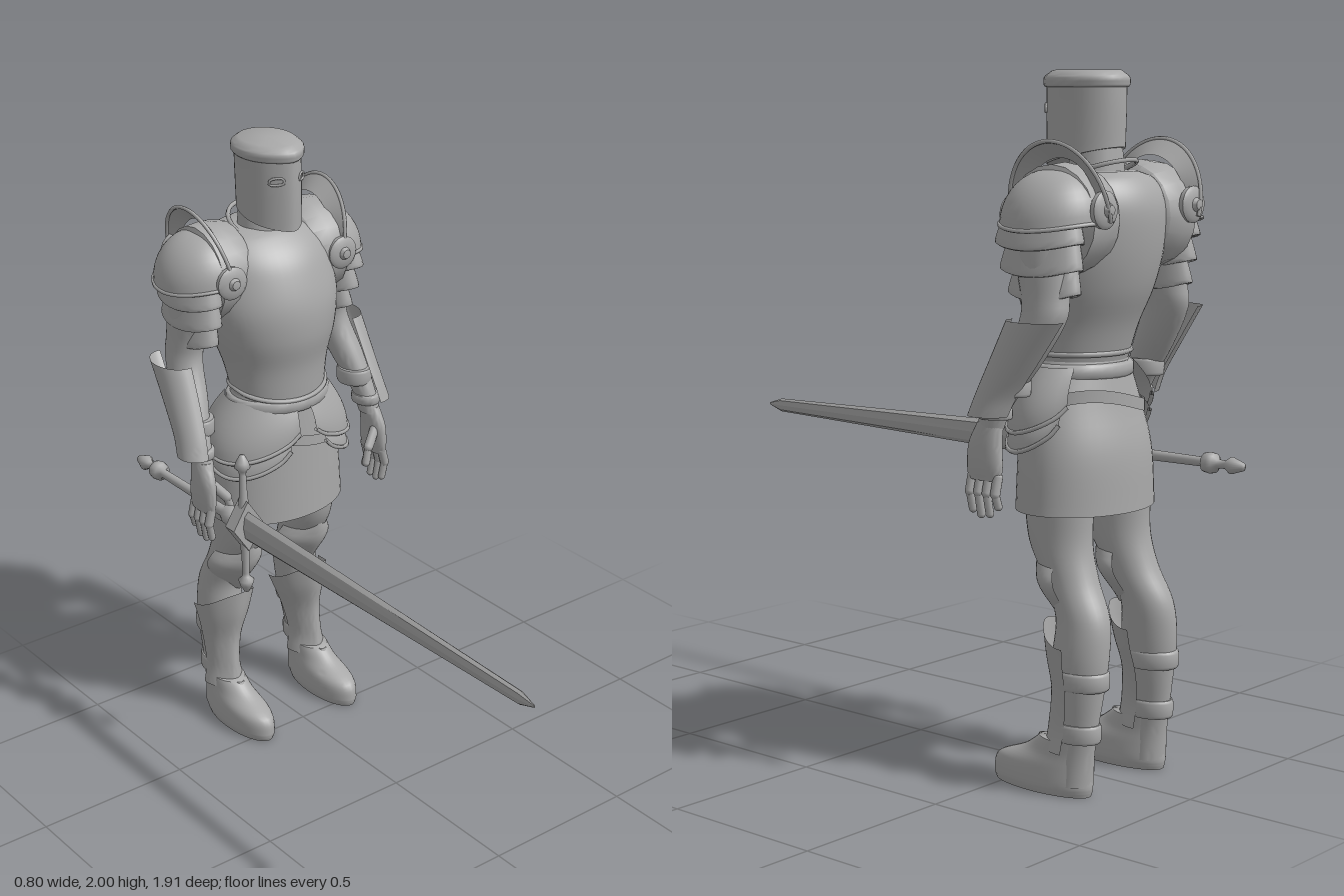
import * as THREE from 'three';
import { mergeVertices, toCreasedNormals } from 'three/addons/utils/BufferGeometryUtils.js';

const steel = new THREE.MeshStandardMaterial({ color: 0xa8a8a8, side: THREE.DoubleSide });
steel.name = 'steel grey';
const V = (x, y, z) => new THREE.Vector3(x, y, z);
const { sin, cos, PI } = Math;

function add(group, name, geometry) {
  const mesh = new THREE.Mesh(geometry, steel);
  mesh.name = name;
  group.add(mesh);
  return mesh;
}

// Smooth surface from a function of u and v
function surface(fn, nu, nv, crease = 0.8) {
  const pos = [], index = [];
  for (let j = 0; j <= nv; j++)
    for (let i = 0; i <= nu; i++) pos.push(...fn(i / nu, j / nv).toArray());
  for (let j = 0; j < nv; j++)
    for (let i = 0; i < nu; i++) {
      const a = j * (nu + 1) + i, d = a + nu + 1;
      index.push(a, a + 1, d + 1, a, d + 1, d);
    }
  const g = new THREE.BufferGeometry();
  g.setAttribute('position', new THREE.Float32BufferAttribute(pos, 3));
  g.setIndex(index);
  return toCreasedNormals(mergeVertices(g), crease);
}

// Loft through horizontal elliptical sections [y, cx, cz, rx, rz], listed bottom to top.
// Angle 0 faces the front; a partial range of angles makes an open plate.
function loft(sections, o = {}) {
  const { a0 = -PI, a1 = PI, cap = !('a0' in o), n = 32, steps = 5, warp, crease } = o;
  const mid = new THREE.CatmullRomCurve3(sections.map(s => V(s[1], s[0], s[2])), false, 'catmullrom');
  const rad = new THREE.CatmullRomCurve3(sections.map(s => V(s[3], 0, s[4])), false, 'catmullrom');
  const rows = (sections.length - 1) * steps, extra = cap ? 1 : 0;
  const total = rows + 2 * extra;
  return surface((u, w) => {
    const row = Math.round(w * total) - extra;
    const v = Math.min(1, Math.max(0, row / rows)), a = a0 + (a1 - a0) * u;
    const c = mid.getPoint(v), r = rad.getPoint(v), k = row < 0 || row > rows ? 0 : 1;
    const p = V(c.x + k * r.x * sin(a), c.y, c.z + k * r.z * cos(a));
    if (warp) warp(p, a, v);
    return p;
  }, n, total, crease);
}

const tube = (points, r, closed = false) =>
  new THREE.TubeGeometry(new THREE.CatmullRomCurve3(points, closed), points.length * 3, r, 6, closed);
const sample = (n, fn) => Array.from({ length: n }, (_, i) => fn(i / (n - 1)));
const loop = (n, fn) => Array.from({ length: n }, (_, i) => fn((i / n) * 2 * PI));
const lathe = pts => new THREE.LatheGeometry(pts.map(p => new THREE.Vector2(...p)), 20);

// Flat band around a limb, centred at height y
const band = (y, h, cx, cz, rx, rz) => loft([
  [y - h / 2, cx, cz, rx * 0.94, rz * 0.94], [y - h / 3, cx, cz, rx, rz],
  [y + h / 3, cx, cz, rx, rz], [y + h / 2, cx, cz, rx * 0.94, rz * 0.94]], { steps: 2 });

function capsule(a, b, r) {
  const g = new THREE.CapsuleGeometry(r, a.distanceTo(b), 4, 10);
  g.applyQuaternion(new THREE.Quaternion().setFromUnitVectors(V(0, 1, 0), b.clone().sub(a).normalize()));
  const m = a.clone().add(b).multiplyScalar(0.5);
  return g.translate(m.x, m.y, m.z);
}

function buildHelmet() {
  const g = new THREE.Group(); g.name = 'helmet';
  const crest = (p, a) => { p.z += 0.012 * Math.max(0, cos(a)) ** 12; };
  add(g, 'helmetShell', loft([[1.765, 0, -0.615, 0.09, 0.117], [1.88, 0, -0.615, 0.09, 0.12], [1.965, 0, -0.615, 0.091, 0.12]],
    { warp: (p, a, v) => { crest(p, a); p.y += (1 - v) * (-0.615 - p.z) * 0.22; } }));
  add(g, 'helmetRim', loft([[1.953, 0, -0.615, 0.095, 0.122], [1.96, 0, -0.615, 0.101, 0.128],
    [1.978, 0, -0.615, 0.101, 0.128], [1.987, 0, -0.615, 0.095, 0.12], [2, 0, -0.615, 0.08, 0.1]], { steps: 2, warp: crest }));
  for (const s of [-1, 1]) {
    const slit = add(g, 'eyeSlit', tube([V(-0.022, -0.004, 0), V(-0.02, 0.01, 0), V(0.02, 0.006, 0), V(0.022, -0.008, 0)], 0.004, true));
    slit.position.set(s * 0.046, 1.895, -0.507);
    slit.rotation.y = s * 0.67;
    slit.scale.x = s;
  }
  add(g, 'neck', new THREE.CylinderGeometry(0.07, 0.085, 0.14, 24).translate(0, 1.74, -0.65));
  return g;
}

function buildBody() {
  const g = new THREE.Group(); g.name = 'body';
  add(g, 'cuirass', loft([[1.2, 0, -0.595, 0.155, 0.13], [1.3, 0, -0.606, 0.172, 0.151], [1.4, 0, -0.617, 0.203, 0.183],
    [1.5, 0, -0.63, 0.222, 0.195], [1.6, 0, -0.65, 0.215, 0.185], [1.66, 0, -0.662, 0.2, 0.163],
    [1.705, 0, -0.672, 0.165, 0.125], [1.725, 0, -0.675, 0.1, 0.09]], { n: 48 }));
  add(g, 'cuirassRim', tube(loop(24, a => V(0.158 * sin(a), 1.225 - 0.03 * Math.max(0, cos(a)), -0.597 + 0.136 * cos(a))), 0.008, true));
  add(g, 'collar', tube(loop(20, a => V(0.1 * sin(a), 1.722 - 0.035 * cos(a), -0.65 + 0.115 * cos(a))), 0.007, true));
  add(g, 'skirt', loft([[0.785, 0, -0.625, 0.235, 0.17], [0.95, 0, -0.622, 0.225, 0.163],
    [1.08, 0, -0.607, 0.2, 0.145], [1.22, 0, -0.595, 0.15, 0.127]], { n: 48 }));
  add(g, 'waistBelt', band(1.175, 0.045, 0, -0.597, 0.172, 0.142));
  // Slanted hip belt
  add(g, 'hipBelt', surface((u, v) => {
    const a = u * 2 * PI;
    return V(0.212 * sin(a), 1.075 + 0.035 * (v - 0.5) - 0.05 * sin(a) * cos(a) - 0.02 * cos(a), -0.605 + 0.16 * cos(a));
  }, 48, 2));
  return g;
}

function buildTassets() {
  const g = new THREE.Group(); g.name = 'tassets';
  // Two overlapping hip plates with rolled lower edges
  const layers = [[0.12, 2.25, 1.19, 1.045, 0.08, 0.252, 0.168], [0.28, 2.1, 1.1, 1.04, 0.085, 0.244, 0.175]];
  layers.forEach(([a0, a1, top, bottom, drop, rx, rz], i) => {
    const fn = (u, v) => {
      const a = a0 + (a1 - a0) * u, w = sin(PI * u);
      const low = bottom + (i ? 0 : 0.045) - drop * w ** 0.7;
      const r = 0.7 + 0.3 * sin(v * PI / 2);
      return V(rx * r * sin(a), top + (low - top) * v, -0.603 + rz * (0.3 + 0.7 * r) * cos(a));
    };
    add(g, 'hipPlate', surface(fn, 24, 8));
    add(g, 'hipPlateRim', tube(sample(16, u => fn(u, 1)), 0.007));
  });
  return g;
}

function buildShoulder() {
  const g = new THREE.Group(); g.name = 'shoulder';
  // Strap wrapping over the shoulder
  const strap = lathe([[0, -0.075], [0.115, -0.075], [0.145, -0.055], [0.155, 0], [0.15, 0.06], [0.1, 0.08], [0, 0.08]]);
  strap.rotateZ(-PI / 2).translate(0.172, 1.598, -0.675);
  add(g, 'shoulderStrap', toCreasedNormals(strap, 0.8));
  const dome = (u, v) => {
    const a = -0.35 + (PI + 0.7) * u, e = v * PI / 2;
    return V(0.215 + 0.145 * sin(a) * cos(e), 1.575 + 0.16 * sin(e) + 0.02 * cos(a) ** 2 * (1 - v), -0.675 + 0.152 * cos(a) * cos(e));
  };
  add(g, 'pauldron', surface(dome, 28, 10));
  add(g, 'pauldronRim', tube(sample(16, u => dome(u, 0)), 0.006));
  // Upright neck guard arching from front to back
  const guard = (u, v) => {
    const t = PI * (-0.02 + 1.04 * u), h = 0.045 * v;
    return V(0.205 + 0.05 * v * sin(t), 1.61 + (0.155 + h) * sin(t), -0.685 + (0.125 + h) * cos(t));
  };
  add(g, 'neckGuard', surface(guard, 32, 4));
  add(g, 'neckGuardRim', tube(sample(20, u => guard(u, 1)), 0.006));
  for (const [x, y, z, s] of [[0.208, 1.61, -0.525, 1], [0.202, 1.63, -0.83, -1]]) {
    const disc = lathe([[0, 0.03], [0.014, 0.027], [0.02, 0.016], [0.042, 0.014], [0.052, 0.006], [0.05, -0.008], [0, -0.01]]);
    add(g, 'roundel', toCreasedNormals(disc.rotateX(s * PI / 2).translate(x, y, z), 0.7));
  }
  // Upper arm lames, each flaring downward
  for (const [y0, y1, cx, rx, rz, cz] of [[1.52, 1.61, 0.268, 0.07, 0.138, -0.665], [1.45, 1.55, 0.262, 0.062, 0.13, -0.668], [1.385, 1.48, 0.257, 0.05, 0.115, -0.675]]) {
    add(g, 'armLame', loft([[y0, cx, cz, rx, rz], [y0 + 0.012, cx, cz, rx + 0.003, rz + 0.003],
      [y1, cx - 0.01, cz, rx * 0.85, rz * 0.85]], { warp: (p, a) => { p.y += 0.02 * cos(a) ** 2; } }));
  }
  return g;
}

function buildArm() {
  const g = new THREE.Group(); g.name = 'arm';
  add(g, 'armSleeve', loft([[1.03, 0.327, -0.545, 0.03, 0.042], [1.1, 0.322, -0.57, 0.035, 0.045], [1.22, 0.302, -0.635, 0.05, 0.063],
    [1.33, 0.283, -0.69, 0.052, 0.07], [1.4, 0.272, -0.69, 0.055, 0.073], [1.5, 0.262, -0.675, 0.06, 0.085], [1.62, 0.24, -0.67, 0.065, 0.09]]));
  const half = { a0: -0.15, a1: PI + 0.15, n: 20 };
  add(g, 'vambrace', loft([[1.07, 0.345, -0.555, 0.056, 0.06], [1.13, 0.337, -0.58, 0.056, 0.064],
    [1.22, 0.328, -0.63, 0.06, 0.075], [1.335, 0.32, -0.695, 0.064, 0.088]], half));
  add(g, 'wristCuff', band(1.15, 0.05, 0.308, -0.598, 0.054, 0.062));
  add(g, 'wristBand', band(1.075, 0.03, 0.324, -0.56, 0.042, 0.052));
  // Open gauntlet hand
  add(g, 'palm', loft([[0.89, 0.337, -0.535, 0.02, 0.056], [0.93, 0.336, -0.535, 0.026, 0.06], [0.99, 0.334, -0.535, 0.028, 0.055], [1.05, 0.328, -0.548, 0.028, 0.04]]));
  for (let i = 0; i < 4; i++) {
    const z = -0.492 - i * 0.03, tip = [0.805, 0.793, 0.797, 0.82][i];
    add(g, 'finger', capsule(V(0.337, 0.9, z), V(0.348, 0.855, z), 0.0145));
    add(g, 'fingertip', capsule(V(0.348, 0.855, z), V(0.338, tip, z - 0.003), 0.012));
  }
  add(g, 'thumb', capsule(V(0.325, 0.985, -0.51), V(0.28, 0.93, -0.49), 0.016));
  add(g, 'thumbTip', capsule(V(0.28, 0.93, -0.49), V(0.266, 0.88, -0.485), 0.013));
  return g;
}

function buildLeg() {
  const g = new THREE.Group(); g.name = 'leg';
  add(g, 'legArmour', loft([[0.03, 0.172, -0.73, 0.05, 0.055], [0.12, 0.172, -0.73, 0.045, 0.06], [0.2, 0.17, -0.735, 0.048, 0.065],
    [0.3, 0.165, -0.735, 0.06, 0.078], [0.4, 0.16, -0.738, 0.068, 0.085], [0.5, 0.15, -0.735, 0.068, 0.08],
    [0.6, 0.14, -0.687, 0.071, 0.08], [0.7, 0.135, -0.645, 0.078, 0.095], [0.82, 0.133, -0.635, 0.085, 0.105]]));
  const crest = p => (q, a) => { q.z += p * Math.max(0, cos(a)) ** 10; };
  const knee = { a0: -1.75, a1: 1.75, n: 24, crease: 1.2, warp: crest(0.012) };
  add(g, 'kneeCap', loft([[0.485, 0.14, -0.69, 0.018, 0.035], [0.53, 0.139, -0.695, 0.062, 0.066], [0.59, 0.137, -0.678, 0.095, 0.085],
    [0.64, 0.137, -0.66, 0.074, 0.08], [0.695, 0.137, -0.645, 0.03, 0.066]], knee));
  const ridge = crest(0.01);
  const shin = { a0: -1.6, a1: 1.6, n: 28, crease: 1.2, warp: (p, a, v) => { ridge(p, a); p.y -= 0.055 * sin(a) ** 2 * v * v; } };
  add(g, 'greave', loft([[0.125, 0.171, -0.725, 0.068, 0.085], [0.2, 0.17, -0.728, 0.056, 0.078], [0.3, 0.164, -0.735, 0.066, 0.08],
    [0.4, 0.156, -0.735, 0.088, 0.1], [0.485, 0.151, -0.74, 0.106, 0.115]], shin));
  add(g, 'upperStrap', band(0.332, 0.052, 0.164, -0.74, 0.068, 0.088));
  add(g, 'lowerStrap', band(0.182, 0.052, 0.171, -0.735, 0.056, 0.074));
  add(g, 'foot', loft([[0, 0.172, -0.618, 0.062, 0.163], [0.025, 0.172, -0.618, 0.069, 0.169], [0.075, 0.172, -0.623, 0.066, 0.16],
    [0.115, 0.172, -0.668, 0.056, 0.112], [0.155, 0.172, -0.697, 0.052, 0.084]]));
  add(g, 'ankleFlap', loft([[0.09, 0.172, -0.69, 0.055, 0.115], [0.155, 0.172, -0.7, 0.03, 0.095]], { a0: -1, a1: 1, n: 10 }));
  return g;
}

function buildSword() {
  const g = new THREE.Group(); g.name = 'sword';
  // Lengthwise parts are built along y, then laid along z
  const along = geo => geo.rotateX(PI / 2);
  add(g, 'blade', along(loft([[-0.39, 0, 0, 0.02, 0.052], [0.9, 0, 0, 0.012, 0.022], [0.955, 0, 0, 0.002, 0.004]], { n: 8, steps: 1, crease: 0.3 })));
  add(g, 'grip', along(lathe([[0, -0.96], [0.012, -0.955], [0.025, -0.915], [0.012, -0.895], [0.013, -0.87], [0.028, -0.86], [0.031, -0.845],
    [0.028, -0.825], [0.014, -0.815], [0.016, -0.6], [0.018, -0.48], [0.031, -0.45], [0.033, -0.42], [0.02, -0.39], [0, -0.38]])));
  const diamond = new THREE.Shape([[0.055, 0], [0, 0.085], [-0.055, 0], [0, -0.085]].map(p => new THREE.Vector2(...p)));
  add(g, 'guardBlock', new THREE.ExtrudeGeometry(diamond, { depth: 0.046, bevelEnabled: false }).translate(0, 0, -0.393));
  for (const s of [-1, 1]) {
    const arm = add(g, 'crossGuard', lathe([[0.018, 0.05], [0.013, 0.1], [0.011, 0.17], [0.012, 0.182], [0.025, 0.195], [0.02, 0.212], [0.008, 0.235], [0, 0.237]]));
    arm.position.z = -0.37;
    arm.rotation.z = s > 0 ? 0 : PI;
  }
  g.position.set(-0.3, 0.89, 0);
  return g;
}

export function createModel() {
  const model = new THREE.Group(); model.name = 'armouredFigure';
  model.add(buildHelmet(), buildBody(), buildSword());
  for (const [name, s] of [['leftSide', 1], ['rightSide', -1]]) {
    const half = new THREE.Group(); half.name = name;
    half.add(buildTassets(), buildShoulder(), buildArm(), buildLeg());
    half.scale.x = s;
    model.add(half);
  }
  return model;
}
